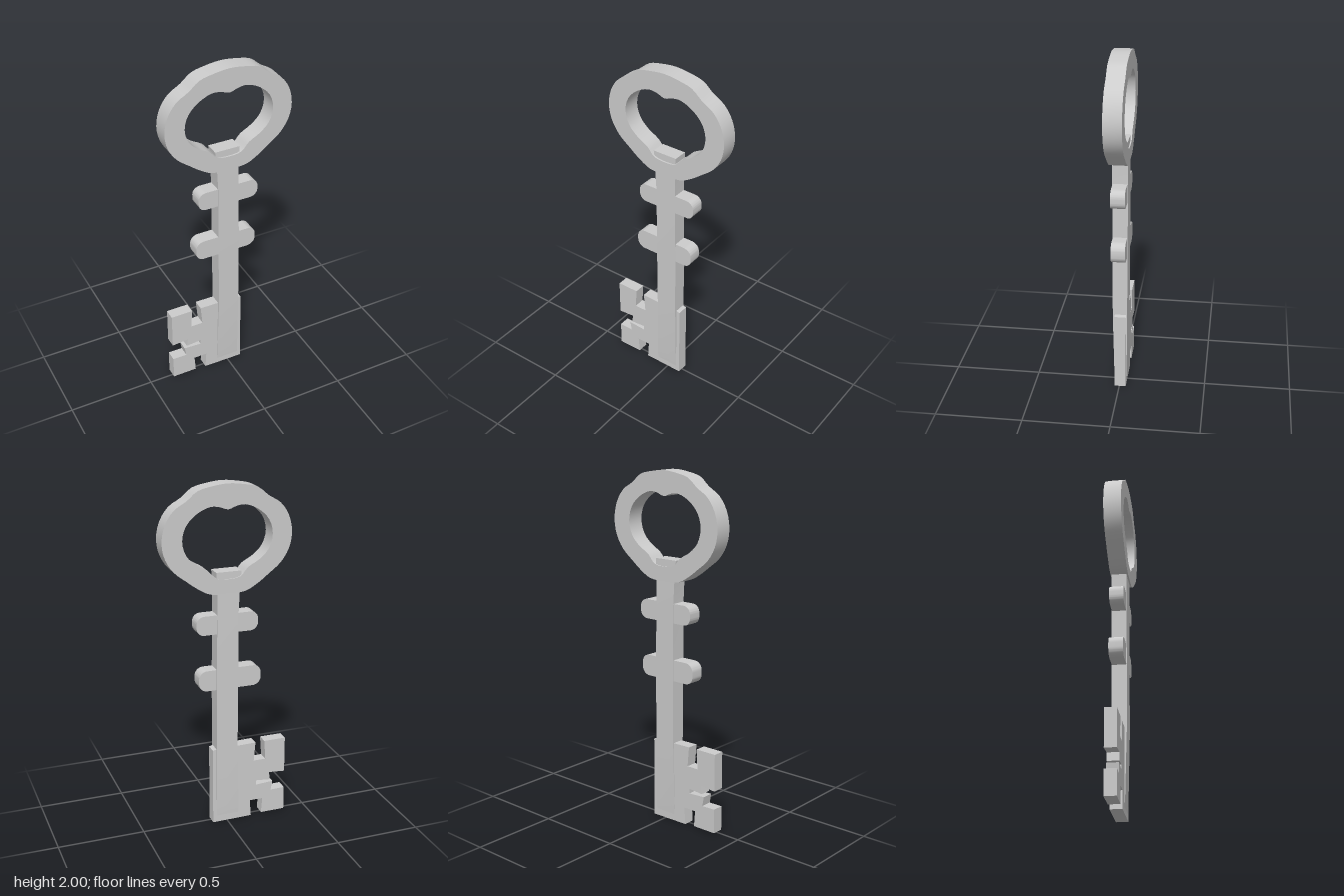
import * as THREE from 'three';
import { toCreasedNormals } from 'three/addons/utils/BufferGeometryUtils.js';

const material = new THREE.MeshStandardMaterial({ color: 0xcccccc });
const vectors = (points) => points.map(([x, y]) => new THREE.Vector2(x, y));

function addMesh(group, name, geometry) {
  const mesh = new THREE.Mesh(toCreasedNormals(geometry, 0.6), material);
  mesh.name = name;
  group.add(mesh);
}

// Flat plate with the given outline, from z0 to z1
function plate(shape, z0, z1) {
  return new THREE.ExtrudeGeometry(shape, { depth: z1 - z0, bevelEnabled: false, curveSegments: 6 })
    .translate(0, 0, z0);
}

// Smooth closed outline mirrored across x = 0, clockwise;
// the first and last points lie on the axis
function mirrored(half) {
  const other = half.slice(1, -1).reverse().map(([x, y]) => [-x, y]);
  const points = [...half, ...other].map(([x, y]) => new THREE.Vector3(x, y, 0));
  const curve = new THREE.CatmullRomCurve3(points, true);
  return curve.getPoints(points.length * 3).slice(0, -1).map((v) => new THREE.Vector2(v.x, v.y));
}

// Bar with rounded corners
function barShape(x0, x1, y0, y1, r) {
  const s = new THREE.Shape();
  s.absarc(x1 - r, y0 + r, r, -Math.PI / 2, 0, false);
  s.absarc(x1 - r, y1 - r, r, 0, Math.PI / 2, false);
  s.absarc(x0 + r, y1 - r, r, Math.PI / 2, Math.PI, false);
  s.absarc(x0 + r, y0 + r, r, Math.PI, Math.PI * 1.5, false);
  return s;
}

export function createModel() {
  const key = new THREE.Group();
  key.name = 'key';

  // Bow: oval ring with a wavy outline; the hole runs the other way round
  const bow = new THREE.Shape(mirrored([
    [0, 2], [0.09, 1.99], [0.17, 1.97], [0.23, 1.922], [0.3, 1.878], [0.35, 1.805], [0.37, 1.71],
    [0.353, 1.62], [0.305, 1.545], [0.24, 1.492], [0.17, 1.44], [0.1, 1.404], [0, 1.4],
  ]));
  bow.holes.push(new THREE.Path(mirrored([
    [0, 1.862], [0.05, 1.878], [0.1, 1.882], [0.175, 1.85], [0.235, 1.79], [0.257, 1.71],
    [0.235, 1.63], [0.18, 1.575], [0.115, 1.537], [0.07, 1.49], [0, 1.48],
  ]).reverse()));
  addMesh(key, 'bow', plate(bow, -0.05, 0.05));

  // Shaft: box fitted to rows of [y, left x, right x, back z, front z]
  const rows = [
    [1.52, -0.08, 0.065, -0.043, 0.04],
    [1.4, -0.07, 0.06, -0.044, 0.041],
    [1.27, -0.063, 0.06, -0.045, 0.041],
    [0.9, -0.063, 0.065, -0.045, 0.041],
    [0.46, -0.062, 0.065, -0.043, 0.04],
    [0.1, -0.07, 0.065, -0.041, 0.032],
    [0.02, -0.07, 0.065, -0.037, 0.027],
  ];
  const shaft = new THREE.BoxGeometry(1, 1, 1, 1, rows.length - 1, 1);
  const p = shaft.attributes.position;
  for (let i = 0; i < p.count; i++) {
    const [y, x0, x1, z0, z1] = rows[Math.round((0.5 - p.getY(i)) * (rows.length - 1))];
    p.setXYZ(i, p.getX(i) < 0 ? x0 : x1, y, p.getZ(i) < 0 ? z0 : z1);
  }
  addMesh(key, 'shaft', shaft);

  // Two collars with rounded ends
  addMesh(key, 'upperCollar', plate(barShape(-0.18, 0.179, 1.17, 1.28, 0.044), -0.042, 0.038));
  addMesh(key, 'lowerCollar', plate(barShape(-0.2, 0.168, 0.84, 0.96, 0.048), -0.042, 0.038));

  // Bit: plate with notched wards on one side
  const bit = new THREE.Shape(vectors([
    [-0.15, 0.003], [0.087, 0], [0.087, 0.465], [0.065, 0.47], [-0.175, 0.475], [-0.165, 0.36],
    [-0.238, 0.36], [-0.23, 0.476], [-0.36, 0.476], [-0.36, 0.26], [-0.262, 0.268], [-0.27, 0.22],
    [-0.18, 0.228], [-0.18, 0.2], [-0.285, 0.206], [-0.275, 0.15], [-0.36, 0.152], [-0.36, 0.01],
    [-0.215, 0.01], [-0.222, 0.103], [-0.143, 0.103],
  ]));
  addMesh(key, 'bit', plate(bit, -0.038, 0.028));

  return key;
}
